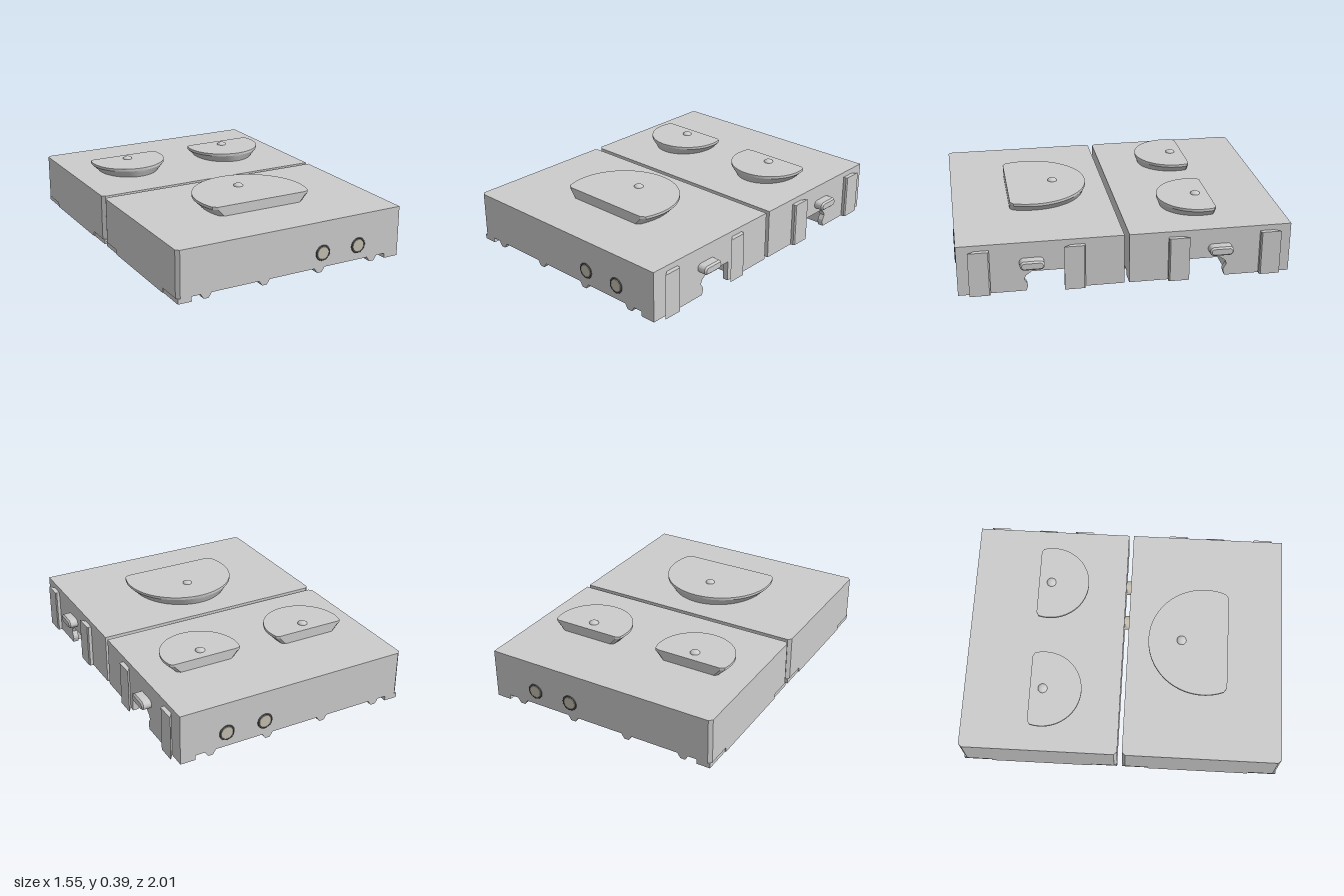
import * as THREE from 'three';
import { toCreasedNormals } from 'three/addons/utils/BufferGeometryUtils.js';

const grey = new THREE.MeshStandardMaterial({ color: 0xcccccc });
const steel = new THREE.MeshStandardMaterial({ color: 0xc4beb0 });
const dark = new THREE.MeshStandardMaterial({ color: 0x555555 });

const polygon = (pts) => new THREE.Shape(pts.map(([a, b]) => new THREE.Vector2(a, b)));

// Plan shape (x, z) raised from y0 to y1
function slab(shape, y0, y1, extra = {}) {
  return new THREE.ExtrudeGeometry(shape, { depth: y1 - y0, bevelEnabled: false, ...extra })
    .rotateX(Math.PI / 2).translate(0, y1, 0);
}

// Side shape (z, y) run along x from x0 to x1
function sidePlate(shape, x0, x1, extra = {}) {
  return new THREE.ExtrudeGeometry(shape, { depth: x1 - x0, bevelEnabled: false, ...extra })
    .rotateY(-Math.PI / 2).translate(x1, 0, 0);
}

function add(parent, name, geometry, material = grey) {
  const mesh = new THREE.Mesh(geometry, material);
  mesh.name = name;
  parent.add(mesh);
  return mesh;
}

function box(parent, name, x0, x1, y0, y1, z0, z1) {
  const g = new THREE.BoxGeometry(x1 - x0, y1 - y0, Math.abs(z1 - z0));
  add(parent, name, g.translate((x0 + x1) / 2, (y0 + y1) / 2, (z0 + z1) / 2));
}

// One half of the block; s = 1 is the front half, s = -1 the back half
function makeHalf(s) {
  const half = new THREE.Group();
  half.name = s > 0 ? 'frontHalf' : 'backHalf';
  const flip = (pts) => polygon(pts.map(([x, z]) => [x, z * s]));
  const outerCorners = [[-0.76, 0.015], [-0.78, 0.035], [-0.78, 0.98], [-0.76, 1]];
  const cavity = [
    [0.68, 0.62], [0.08, 0.62], [0.02, 0.66], [-0.01, 0.75], [-0.64, 0.75], [-0.69, 0.70],
    [-0.69, 0.41], [-0.64, 0.36], [0, 0.35], [0.06, 0.30], [0.68, 0.30],
  ];

  // Body: solid top, hollow middle, rim round the pocket
  add(half, 'topSlab', slab(flip([[0.68, 0.015], ...outerCorners, [0.68, 1]]), 0.18, 0.315));
  add(half, 'hollowBody', slab(flip([[0.68, 0.015], ...outerCorners, [0.68, 1], ...cavity]), 0.03, 0.18));
  add(half, 'pocketRim', slab(flip([[0.68, 0.18], [-0.78, 0.18], [-0.78, 0.82], [0.68, 0.82], ...cavity]), 0, 0.03));

  // Side wall with a hooked opening
  const wall = [
    [0.015, 0], [0.37, 0], [0.37, 0.125], [0.565, 0.125], [0.60, 0.10], [0.61, 0.075],
    [0.592, 0.045], [0.59, 0.03], [0.60, 0], [1, 0], [1, 0.315], [0.015, 0.315],
  ];
  add(half, 'sideWall', sidePlate(polygon(wall.map(([z, y]) => [z * s, y])), 0.68, 0.715));

  // Corner feet and the small ribs between them
  const rib = polygon([[-0.035, 0.03], [-0.015, 0], [0.015, 0], [0.035, 0.03]]);
  for (const [z0, z1] of [[0.015, 0.18], [0.82, 1]]) {
    box(half, 'foot', -0.775, -0.69, 0, 0.03, z0 * s, z1 * s);
    box(half, 'foot', 0.62, 0.69, 0, 0.03, z0 * s, z1 * s);
    for (const x of [-0.6, -0.225, 0.15, 0.525]) {
      const g = new THREE.ExtrudeGeometry(rib, { depth: z1 - z0, bevelEnabled: false });
      add(half, 'rib', g.translate(x, 0, s > 0 ? z0 : -z1));
    }
  }

  // Undercut guide bars on the side
  for (const z of [0.25, 0.81]) {
    add(half, 'guideBar', slab(flip([
      [0.71, z], [0.735, z], [0.742, z + 0.008], [0.742, z + 0.125], [0.715, z + 0.085], [0.71, z + 0.085],
    ]), 0, 0.28));
  }

  // Rounded latch stud
  const stud = new THREE.Shape();
  stud.absarc(0.61 * s, 0.187, 0.018, s > 0 ? -Math.PI / 2 : Math.PI / 2, s > 0 ? Math.PI / 2 : Math.PI * 1.5);
  stud.absarc(0.52 * s, 0.187, 0.018, s > 0 ? Math.PI / 2 : -Math.PI / 2, s > 0 ? Math.PI * 1.5 : Math.PI / 2);
  add(half, 'latchStud', toCreasedNormals(sidePlate(stud, 0.71, 0.765,
    { bevelEnabled: true, bevelSize: 0.01, bevelThickness: 0.01, bevelSegments: 1 }), 0.5));

  // Plugs set into the end face
  for (const x of [0.17, 0.42]) {
    const plug = add(half, 'rodPlug', new THREE.CylinderGeometry(0.038, 0.042, 0.012, 32), steel);
    plug.rotation.x = s * Math.PI / 2;
    plug.position.set(x, 0.12, s * 0.999);
    const ring = add(half, 'plugRing', new THREE.TorusGeometry(0.044, 0.005, 8, 40), dark);
    ring.position.set(x, 0.12, s);
  }
  return half;
}

// Round pad with one flat side and an undercut edge; dir = side of the flat
function makePad(x, z, r, cut, dir, pinZ) {
  const pad = new THREE.Group();
  pad.name = 'pad';
  const a = Math.asin(cut / r) - 0.06;
  const pts = [];
  for (let i = 0; i <= 48; i++) {
    const t = a - (i / 48) * (Math.PI + 2 * a);
    pts.push([r * Math.cos(t), dir * r * Math.sin(t)]);
  }
  const half = Math.sqrt(r * r - cut * cut) - 0.02;
  pts.push([-half, dir * cut], [half, dir * cut]);
  const g = slab(polygon(pts), 0, 0.065, { steps: 4 });
  // Narrow the lower part, leaving the flat side upright
  const p = g.attributes.position;
  for (let i = 0; i < p.count; i++) {
    const t = Math.min(1, Math.max(0, (0.0488 - p.getY(i)) / 0.0488));
    p.setX(i, p.getX(i) * (1 - t * 0.05 / r));
    if (p.getZ(i) * dir < 0) p.setZ(i, p.getZ(i) * (1 - t * 0.02 / r));
  }
  add(pad, 'padDisc', toCreasedNormals(g, 0.4)).position.set(x, 0.312, z);

  const pin = new THREE.SphereGeometry(0.03, 24, 12, 0, Math.PI * 2, 0, Math.PI / 2).scale(1, 0.6, 1);
  add(pad, 'pin', pin).position.set(x, 0.376, pinZ);
  return pad;
}

// Long rod through both halves, threaded at the back end
function makeRod(x) {
  const rod = new THREE.Group();
  rod.name = 'rod';
  const shaft = [[0, -0.53], [0.046, -0.53], [0.046, 0.56], [0.03, 0.61], [0, 0.61]];
  const thread = [[0, -0.615]];
  for (let i = 0; i < 5; i++) {
    const z = -0.61 + i * 0.016;
    thread.push([0.026 + i * 0.002, z], [0.038 + i * 0.002, z + 0.008]);
  }
  thread.push([0.036, -0.528], [0, -0.528]);
  const lathe = (pts) => toCreasedNormals(new THREE.LatheGeometry(
    pts.map(([r, y]) => new THREE.Vector2(r, y)), 28).rotateX(Math.PI / 2), 0.5);
  add(rod, 'rodShaft', lathe(shaft), steel);
  add(rod, 'rodThread', lathe(thread), dark);
  rod.position.set(x, 0.12, 0);
  return rod;
}

export function createModel() {
  const model = new THREE.Group();
  model.name = 'twinBlock';
  model.add(makeHalf(1), makeHalf(-1));
  model.add(makePad(-0.03, 0.5, 0.355, 0.15, 1, 0.355));
  for (const x of [-0.395, 0.325]) model.add(makePad(x, -0.5, 0.243, 0.08, -1, -0.5));
  for (const x of [0.17, 0.42]) model.add(makeRod(x));
  // Pin end showing inside the back pocket
  add(model, 'pinEnd', new THREE.SphereGeometry(0.025, 20, 12).scale(1, 0.6, 1)).position.set(-0.395, 0.18, -0.5);
  return model;
}
